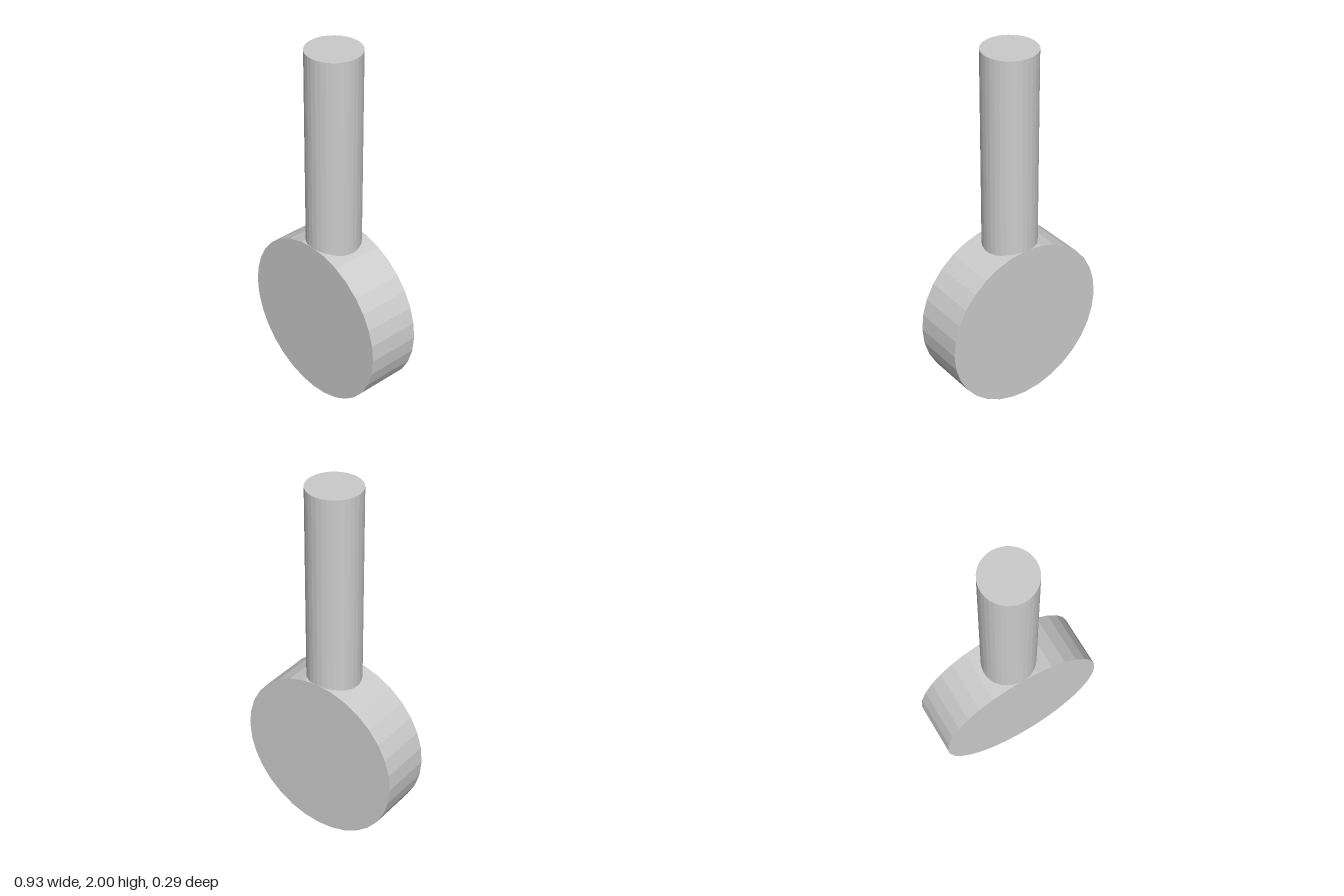
import * as THREE from 'three';

const SIDES = 32;
const DISC_RADIUS = 0.463;
const ROD_RADIUS = 0.145;
const TOP = 2;

export function createModel() {
  const model = new THREE.Group();
  const material = new THREE.MeshStandardMaterial({ color: 0xcccccc, flatShading: true });

  // Round head lying on its rim, flat faces to front and back
  const disc = new THREE.Mesh(
    new THREE.CylinderGeometry(DISC_RADIUS, DISC_RADIUS, ROD_RADIUS * 2, SIDES).rotateX(Math.PI / 2),
    material
  );
  disc.name = 'discHead';
  disc.position.y = DISC_RADIUS;

  // Upright rod, sunk into the rim of the head
  const rodBase = 0.8;
  const rod = new THREE.Mesh(
    new THREE.CylinderGeometry(ROD_RADIUS, ROD_RADIUS, TOP - rodBase, SIDES),
    material
  );
  rod.name = 'rod';
  rod.position.y = (TOP + rodBase) / 2;

  model.add(disc, rod);
  return model;
}
